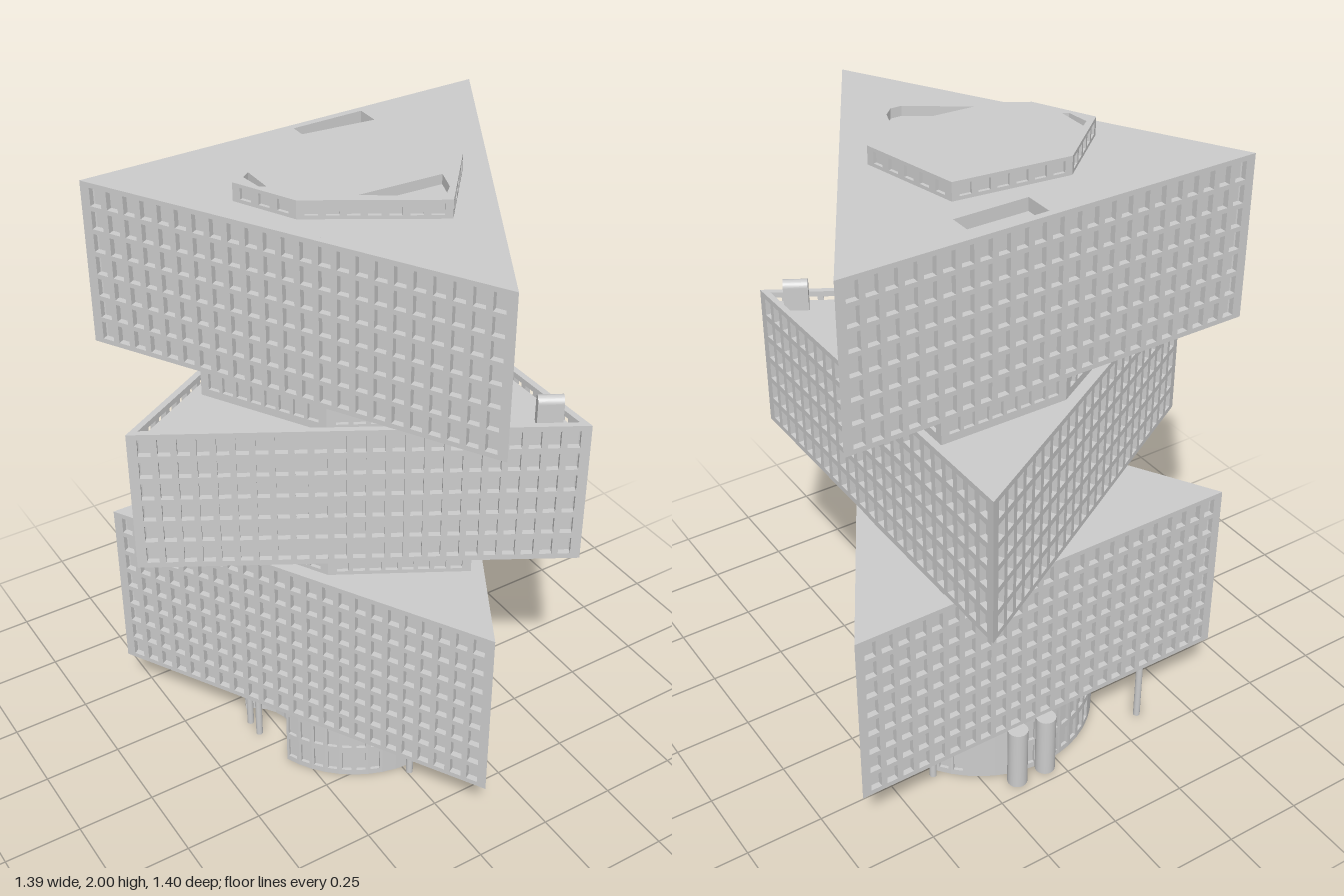
import * as THREE from 'three';
import { mergeGeometries } from 'three/addons/utils/BufferGeometryUtils.js';

const mat = new THREE.MeshStandardMaterial({ color: 0xcccccc, flatShading: true });
const smooth = new THREE.MeshStandardMaterial({ color: 0xcccccc });

function add(parent, name, geo, material = mat) {
  const mesh = new THREE.Mesh(geo, material);
  mesh.name = name;
  parent.add(mesh);
  return mesh;
}

// Vertical prism over a plan outline of [x, z] points, with optional holes
function prism(pts, y0, y1, holes = []) {
  const flip = (list) => list.map(([x, z]) => new THREE.Vector2(x, -z));
  const shape = new THREE.Shape(flip(pts));
  for (const h of holes) shape.holes.push(new THREE.Path(flip(h)));
  return new THREE.ExtrudeGeometry(shape, { depth: y1 - y0, bevelEnabled: false })
    .rotateX(-Math.PI / 2).translate(0, y0, 0);
}

function rectHole(cx, cy, w, h) {
  const a = w / 2, b = h / 2;
  return new THREE.Path([[-a, -b], [-a, b], [a, b], [a, -b]].map(([x, y]) => new THREE.Vector2(cx + x, cy + y)));
}

// Plan directions, mitre shifts and inset outline for walls of thickness d
function planOf(pts, d) {
  const n = pts.length;
  const edges = pts.map((p, i) => {
    const q = pts[(i + 1) % n];
    const len = Math.hypot(q[0] - p[0], q[1] - p[1]);
    return { p, len, u: [(q[0] - p[0]) / len, (q[1] - p[1]) / len] };
  });
  const mitre = edges.map((e, i) => {
    const a = edges[(i + n - 1) % n].u, b = e.u;
    return d * Math.tan(Math.atan2(a[1] * b[0] - a[0] * b[1], a[0] * b[0] + a[1] * b[1]) / 2);
  });
  const inset = edges.map(({ p, u }, i) => [
    p[0] + u[0] * mitre[i] + u[1] * d,
    p[1] + u[1] * mitre[i] - u[0] * d,
  ]);
  return { edges, mitre, inset };
}

// One storey block: mitred walls pierced by windows around a solid core.
// roofDrop lowers the core; roofHoles puts a pierced roof slab back on top.
function block(name, pts, y0, y1, o) {
  const { d, rows, w, h, cols, margin = 0.02, roofDrop = 0, roofHoles } = o;
  const group = new THREE.Group();
  group.name = name;
  const { edges, mitre, inset } = planOf(pts, d);
  const H = y1 - y0;
  const walls = edges.map(({ p, u, len }, i) => {
    const shape = new THREE.Shape([[0, 0], [len, 0], [len, H], [0, H]].map(([x, y]) => new THREE.Vector2(x, y)));
    const n = cols(len, i);
    for (let c = 0; c < n; c++) {
      for (let r = 0; r < rows; r++) {
        shape.holes.push(rectHole(
          margin + (c + 0.5) * (len - 2 * margin) / n,
          0.008 + (r + 0.5) * (H - 0.016) / rows, w, h));
      }
    }
    const geo = new THREE.ExtrudeGeometry(shape, { depth: d, bevelEnabled: false }).translate(0, 0, -d);
    // mitre the inner ends so that walls meet cleanly at the corners
    const pos = geo.attributes.position;
    for (let k = 0; k < pos.count; k++) {
      if (pos.getZ(k) > -d / 2) continue;
      const x = pos.getX(k);
      if (x < 1e-5) pos.setX(k, mitre[i]);
      else if (x > len - 1e-5) pos.setX(k, len - mitre[(i + 1) % edges.length]);
    }
    const m = new THREE.Matrix4().makeBasis(
      new THREE.Vector3(u[0], 0, u[1]), new THREE.Vector3(0, 1, 0), new THREE.Vector3(-u[1], 0, u[0]));
    return geo.applyMatrix4(m.setPosition(p[0], y0, p[1]));
  });
  add(group, name + 'Walls', mergeGeometries(walls));
  add(group, name + 'Core', prism(inset, y0, y1 - roofDrop));
  if (roofHoles) add(group, name + 'Roof', prism(inset, y1 - roofDrop, y1, roofHoles));
  return group;
}

export function createModel() {
  const model = new THREE.Group();
  model.name = 'tower';

  const triA = [[-0.605, -0.43], [0.045, 0.695], [0.695, -0.43]];
  const triB = [[-0.7, -0.055], [0.42, 0.592], [0.42, -0.702]];
  const hex = [[-0.405, -0.165], [-0.2, 0.19], [0.17, 0.4], [0.375, 0.05], [0.375, -0.38], [-0.033, -0.38]];
  const attic = [[-0.31, -0.1], [-0.22, 0.08], [0.13, 0.295], [0.31, 0.08], [0.24, -0.23], [-0.11, -0.27]];
  const windows = { d: 0.019, w: 0.036, h: 0.056, cols: () => 23 };

  // Three stacked triangular blocks, the middle one turned and with a parapet
  model.add(block('lowerBlock', triA, 0.215, 0.81, { ...windows, rows: 8 }));
  model.add(block('middleBlock', triB, 0.885, 1.355, { ...windows, rows: 6, roofDrop: 0.03 }));
  model.add(block('upperBlock', triA, 1.435, 1.945, {
    ...windows, rows: 7, roofDrop: 0.04,
    roofHoles: [[[0.06, -0.408], [0.29, -0.408], [0.29, -0.315], [0.06, -0.315]]],
  }));

  // Recessed hexagonal floors between the blocks
  const neck = { d: 0.012, rows: 1, w: 0.035, h: 0.05, cols: () => 8 };
  model.add(block('lowerNeck', hex, 0.81, 0.885, neck));
  model.add(block('upperNeck', hex, 1.325, 1.435, { ...neck, h: 0.06 }));

  // Rooftop storey with sunken terraces
  model.add(block('penthouse', attic, 1.945, 2, {
    d: 0.01, rows: 1, w: 0.035, h: 0.034, margin: 0.012, roofDrop: 0.03,
    cols: (len) => Math.round(len / 0.058),
    roofHoles: [
      [[-0.065, 0.14], [0.19, 0.155], [0.165, 0.225], [0.135, 0.255], [0.1, 0.255]],
      [[-0.27, -0.11], [-0.245, -0.13], [-0.245, -0.03], [-0.262, -0.04]],
    ],
  }));

  // Round entrance drum with a concave notch on one side
  const cx = 0.045, cz = -0.055, facets = 44, drum = [];
  for (let i = 0; i <= facets; i++) {
    const t = 0.385 + (i / facets) * (2 * Math.PI - 0.77);
    drum.push([cx - 0.37 * Math.cos(t), cz + 0.37 * Math.sin(t)]);
  }
  for (let i = 1; i < 10; i++) {
    const s = 1.18 * (i / 5 - 1);
    drum.push([cx - 0.4 + 0.15 * Math.cos(s), cz + 0.15 * Math.sin(s)]);
  }
  model.add(block('entranceDrum', drum, 0, 0.215, {
    d: 0.01, rows: 2, w: 0.03, h: 0.075, margin: 0,
    cols: (len, i) => (i < facets && i % 11 < 7 ? 1 : 0),
  }));

  // Slim posts and two thick shafts under the lower block
  const column = (name, x, z, r) =>
    add(model, name, new THREE.CylinderGeometry(r, r, 0.217, 20).translate(x, 0.1085, z), smooth);
  for (const [x, z] of [[-0.34, -0.41], [0.365, -0.28], [0.01, 0.34], [-0.315, -0.07], [-0.315, -0.13]]) {
    column('post', x, z, 0.011);
  }
  for (const x of [0.155, 0.05]) column('shaft', x, -0.443, 0.032);

  // Arched stair hood on the middle roof, open at its outer end
  const arch = (r, top) => {
    const s = new THREE.Shape();
    s.moveTo(-r, 0);
    s.lineTo(r, 0);
    s.lineTo(r, top);
    s.absarc(0, top, r, 0, Math.PI, false);
    s.closePath();
    return s;
  };
  const shell = arch(0.02, 0.075);
  shell.holes.push(arch(0.012, 0.07));
  const hood = new THREE.Group();
  hood.name = 'stairHood';
  add(hood, 'hoodShell', new THREE.ExtrudeGeometry(shell, { depth: 0.03, bevelEnabled: false }).translate(0, 0, 0.045));
  add(hood, 'hoodBody', new THREE.ExtrudeGeometry(arch(0.02, 0.075), { depth: 0.045, bevelEnabled: false }));
  hood.position.set(0.32, 1.325, 0.465);
  hood.rotation.y = Math.PI / 3;
  model.add(hood);

  return model;
}
